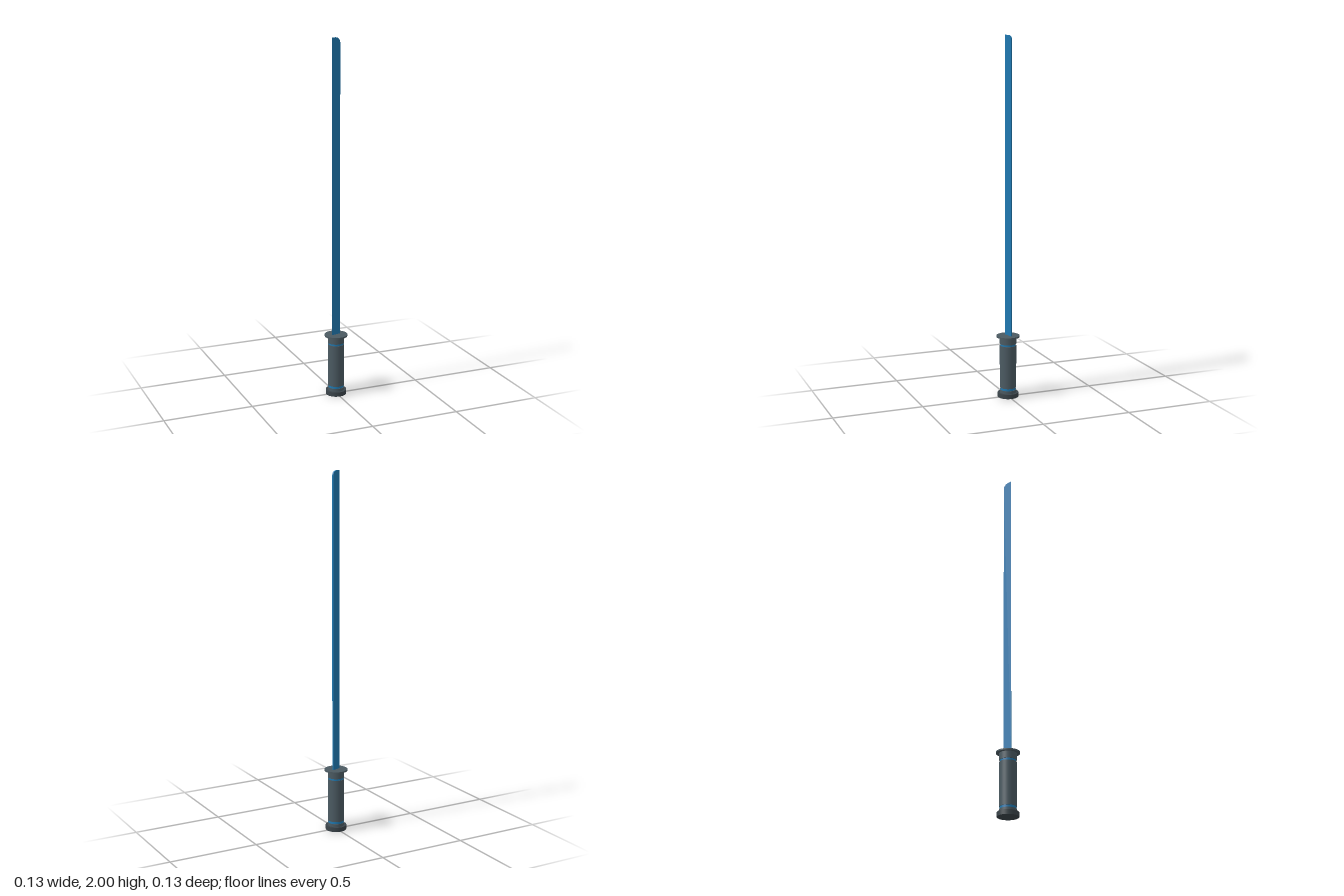
import * as THREE from 'three';

const steel = new THREE.MeshStandardMaterial({ color: 0x4b5a62 });
const darkSteel = new THREE.MeshStandardMaterial({ color: 0x3a444a });
const blue = new THREE.MeshStandardMaterial({ color: 0x1f78b0 });

// Upright round part between two heights
function drum(name, radius, y0, y1, material) {
  const mesh = new THREE.Mesh(new THREE.CylinderGeometry(radius, radius, y1 - y0, 48), material);
  mesh.name = name;
  mesh.position.y = (y0 + y1) / 2;
  return mesh;
}

// Single-edged blade: thick spine at +x, sharp edge at -x, spine corner rounded at the tip
function createBlade() {
  const half = 0.027, base = 0.34, top = 2, drop = 0.03;
  const shape = new THREE.Shape();
  shape.moveTo(-half, base);
  shape.lineTo(half, base);
  shape.lineTo(half, top - drop);
  shape.bezierCurveTo(half, top - 0.012, 0.015, top, -0.003, top);
  shape.lineTo(-half, top);
  shape.closePath();
  const geometry = new THREE.ExtrudeGeometry(shape, { depth: 1, bevelEnabled: false, curveSegments: 12 });
  geometry.translate(0, 0, -0.5);

  // Taper the thickness from the spine to the edge
  const p = geometry.attributes.position;
  for (let i = 0; i < p.count; i++) {
    const t = (p.getX(i) + half) / (2 * half);
    p.setZ(i, p.getZ(i) * THREE.MathUtils.lerp(0.0008, 0.009, t));
  }
  geometry.computeVertexNormals();

  const blade = new THREE.Mesh(geometry, blue);
  blade.name = 'blade';
  blade.rotation.y = 0.31;
  blade.position.z = -0.002;
  return blade;
}

export function createModel() {
  const model = new THREE.Group();
  model.name = 'sword';

  model.add(
    drum('pommel', 0.058, 0, 0.025, darkSteel),
    drum('pommelCollar', 0.046, 0.025, 0.041, steel),
    drum('lowerRing', 0.043, 0.041, 0.054, blue),
    drum('grip', 0.046, 0.054, 0.295, steel),
    drum('upperRing', 0.043, 0.295, 0.305, blue),
    drum('guardCollar', 0.046, 0.305, 0.343, steel),
    drum('guard', 0.064, 0.343, 0.351, steel),
    createBlade()
  );
  return model;
}
